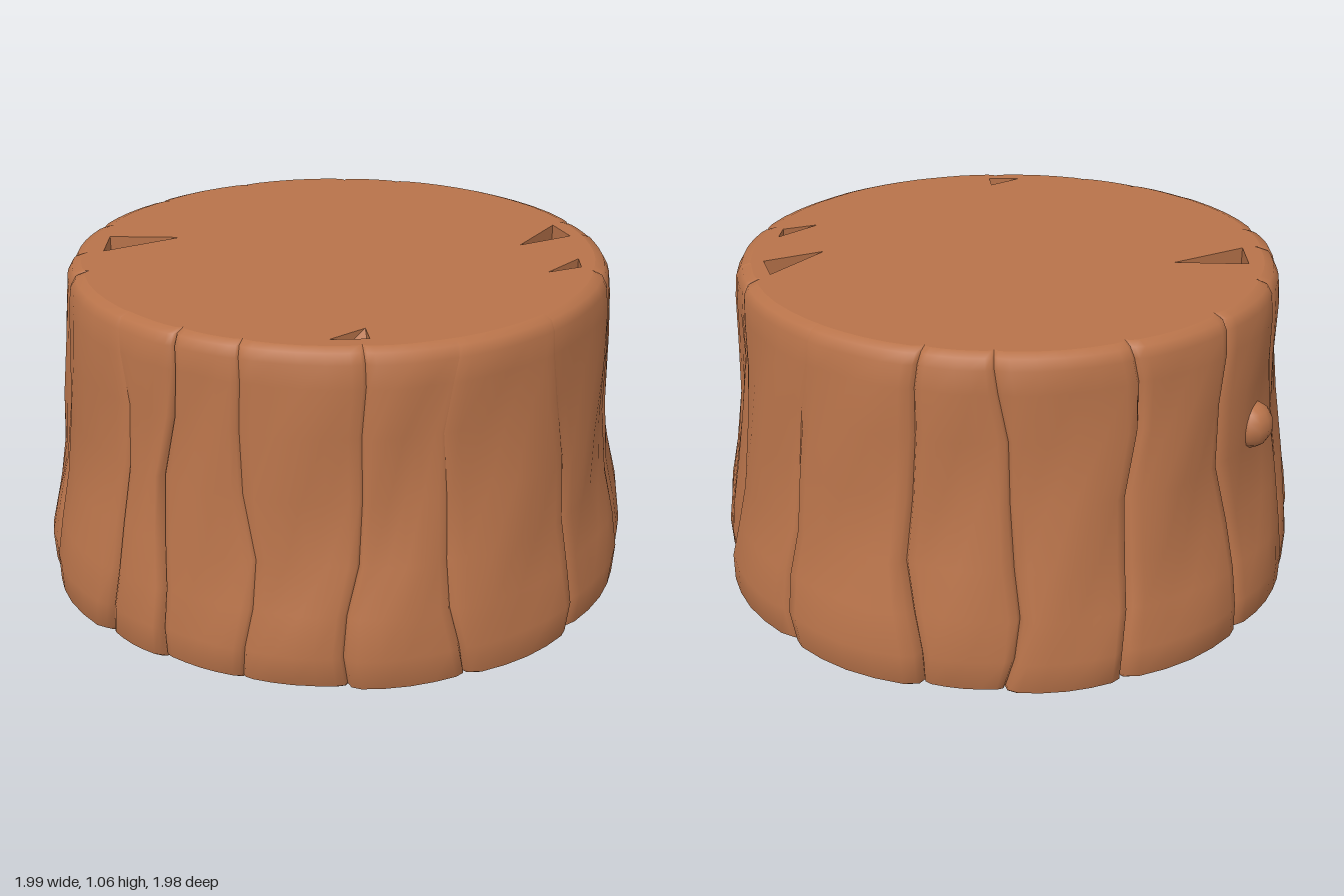
import * as THREE from 'three';

const TOP = 1.06;

// Bark seams in degrees around the stump (from +x towards +z)
const SEAMS = [0, 26, 37, 63, 91, 117, 135, 156, 172, 184, 212, 228, 246, 270, 294, 317, 334, 360];
// Seams that close up towards the top
const FADING = [0, 2, 4, 5, 9, 17];
// Relative thickness of the bark plate that follows each seam
const THICK = [1, 0.97, 0.98, 0.985, 1, 0.99, 0.97, 0.97, 0.99, 1.015, 1.005, 0.98, 0.99, 1, 1, 0.98, 1.005];
// Height and radius of the flared trunk
const PROFILE = [[0, 0.965], [0.02, 0.992], [0.12, 0.995], [0.25, 0.972], [0.4, 0.938], [0.6, 0.909],
  [0.8, 0.896], [0.95, 0.89], [1.02, 0.882], [1.05, 0.865], [TOP, 0.835]];
// Cross-section of one plate: position across it and how far it rises from the seam
const ACROSS = [[0, 0], [0.03, 0.65], [0.11, 0.9], [0.3, 1], [0.5, 1.05], [0.7, 1], [0.89, 0.88], [0.97, 0.6], [1, 0]];

// Seams wander sideways as they climb
function seamAngle(i, y) {
  const n = i % (SEAMS.length - 1);
  const wander = 0.03 * Math.sin(4.5 * y + n * 2.3) + 0.015 * Math.sin(11 * y + n);
  return THREE.MathUtils.degToRad(SEAMS[i]) + wander;
}

function seamDepth(i, fade) {
  const depth = 0.015 + 0.035 * fade;
  return FADING.includes(i) ? depth * fade * fade : depth;
}

function barkPoint(i, [t, rise], [y, radius]) {
  const angle = THREE.MathUtils.lerp(seamAngle(i, y), seamAngle(i + 1, y), t);
  const fade = 1 - 0.75 * y / TOP;
  const groove = seamDepth(t < 0.5 ? i : i + 1, fade);
  const thick = 1 + (THICK[i] - 1) * fade;
  const lumps = 0.014 * Math.sin(9 * y + i * 1.9 + t * 4) * Math.sin(Math.PI * t) * Math.sin(Math.PI * y / TOP);
  const r = radius * (1 - groove + rise * (groove + thick - 1)) + lumps;
  return new THREE.Vector3(r * Math.cos(angle), y, r * Math.sin(angle));
}

// One smooth bark plate from the ground to the rim
function barkPlate(i) {
  const pos = [], index = [], n = ACROSS.length;
  PROFILE.forEach((level, row) => {
    ACROSS.forEach((a, col) => {
      pos.push(...barkPoint(i, a, level).toArray());
      if (row < PROFILE.length - 1 && col < n - 1) {
        const k = row * n + col;
        index.push(k, k + n, k + 1, k + 1, k + n, k + n + 1);
      }
    });
  });
  const g = new THREE.BufferGeometry();
  g.setAttribute('position', new THREE.Float32BufferAttribute(pos, 3));
  g.setIndex(index);
  g.computeVertexNormals();
  return g;
}

// Outline of the bark at one level
function outline(level) {
  const points = [];
  THICK.forEach((_, i) => ACROSS.slice(0, -1).forEach(a => points.push(barkPoint(i, a, level))));
  return points;
}

// Wedge-shaped pit: flush at its inner tip, sinking towards the rim
function pitGeometry([tip, a, b], depth) {
  const T = [tip[0], TOP, tip[1]];
  const A = [a[0], TOP, a[1]], B = [b[0], TOP, b[1]];
  const A2 = [a[0], TOP - depth, a[1]], B2 = [b[0], TOP - depth, b[1]];
  const g = new THREE.BufferGeometry();
  const pos = [T, B2, A2, T, A2, A, T, B, B2, A, A2, B2, A, B2, B].flat();
  g.setAttribute('position', new THREE.Float32BufferAttribute(pos, 3));
  g.computeVertexNormals();
  return g;
}

export function createModel() {
  const group = new THREE.Group();
  group.name = 'treeStump';
  const bark = new THREE.MeshStandardMaterial({ color: 0xb8734a, side: THREE.DoubleSide });
  bark.name = 'barkBrown';
  const add = (geometry, name) => {
    const mesh = new THREE.Mesh(geometry, bark);
    mesh.name = name;
    group.add(mesh);
    return mesh;
  };

  // Bark all round
  THICK.forEach((_, i) => add(barkPlate(i), 'barkPlate' + (i + 1)));

  // Cut top with split-out wedges
  const pits = [
    [[-0.27, -0.48], [-0.53, -0.56], [-0.42, -0.66]],
    [[0.43, 0.42], [0.68, 0.38], [0.62, 0.49]],
    [[0.27, 0.64], [0.44, 0.64], [0.38, 0.69]],
    [[-0.47, 0.52], [-0.6, 0.5], [-0.52, 0.58]],
  ];
  const cut = new THREE.Shape(outline(PROFILE[PROFILE.length - 1]).map(p => new THREE.Vector2(p.x, -p.z)));
  pits.forEach((pit, i) => {
    cut.holes.push(new THREE.Path(pit.map(([x, z]) => new THREE.Vector2(x, -z))));
    add(pitGeometry(pit, 0.07), 'splitWedge' + (i + 1));
  });
  add(new THREE.ShapeGeometry(cut).rotateX(-Math.PI / 2), 'cutTop').position.y = TOP;

  // Flat underside
  const base = new THREE.Shape(outline(PROFILE[0]).map(p => new THREE.Vector2(p.x, p.z)));
  add(new THREE.ShapeGeometry(base).rotateX(Math.PI / 2), 'underside');

  // Knot on the back
  const knot = add(new THREE.SphereGeometry(0.075, 12, 8), 'knot');
  knot.position.set(-0.18, 0.65, -0.87);
  knot.scale.set(0.95, 1, 0.85);

  return group;
}
